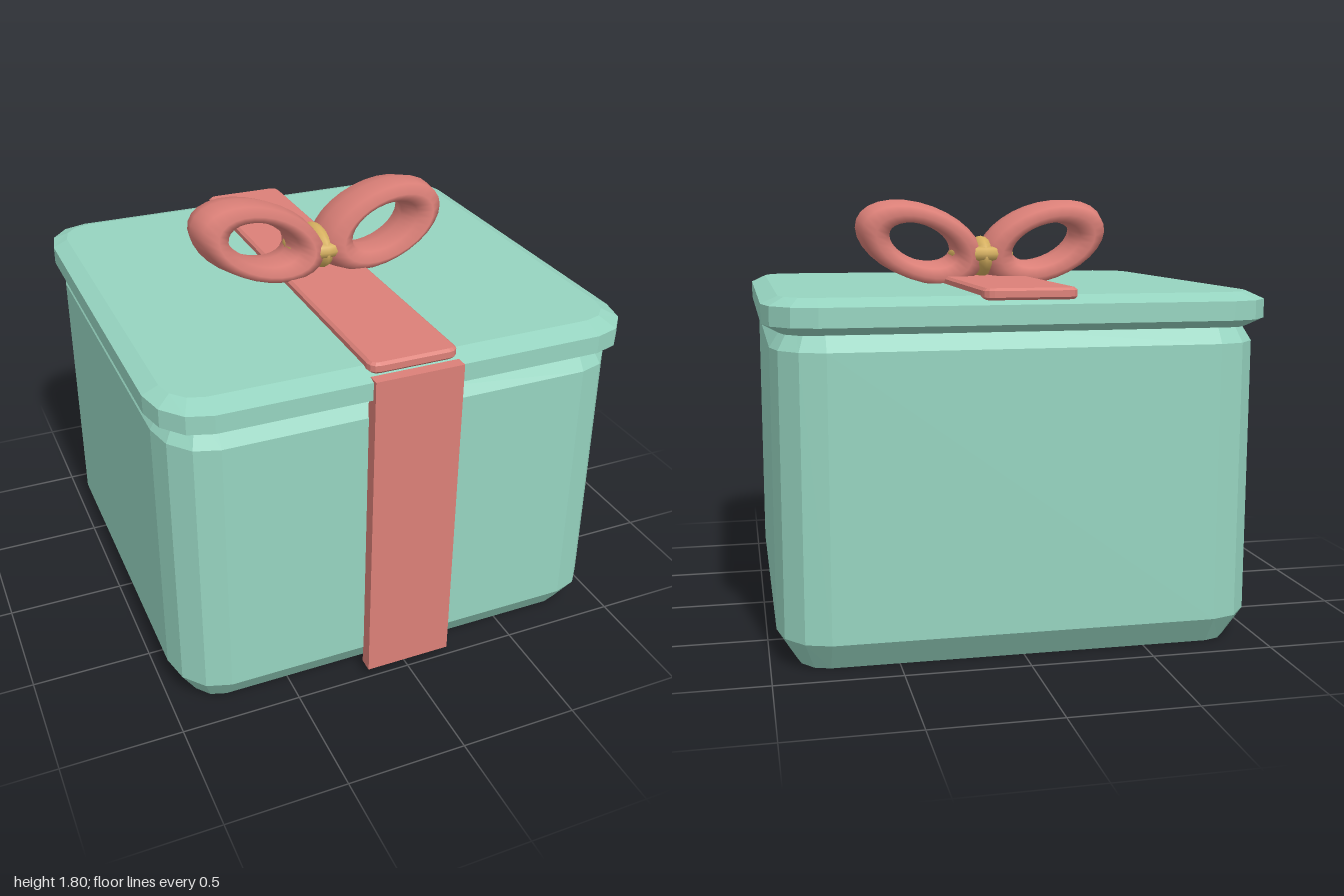
import * as THREE from 'three';

const green = new THREE.MeshStandardMaterial({ name: 'mint card', color: 0x96d4c0 });
const red = new THREE.MeshStandardMaterial({ name: 'coral ribbon', color: 0xdb8078 });
const gold = new THREE.MeshStandardMaterial({ name: 'gold knot', color: 0xd6b060 });

// Rounded rectangle outline: half sizes, corner radii, segments per corner
function outline(hx, hz, rx, rz, y, segments = 3) {
  const points = [];
  for (let corner = 0; corner < 4; corner++) {
    const sx = corner === 0 || corner === 3 ? 1 : -1;
    const sz = corner < 2 ? 1 : -1;
    for (let i = 0; i <= segments; i++) {
      const a = (corner + i / segments) * Math.PI / 2;
      points.push([sx * (hx - rx) + rx * Math.cos(a), y, sz * (hz - rz) + rz * Math.sin(a)]);
    }
  }
  return points;
}

// Faceted box lofted through insets: profile rows are [y, inset x, inset z]
function loftedBox(name, material, hx, hz, rx, rz, profile) {
  const rings = profile.map(([y, ix, iz]) => outline(hx - ix, hz - iz, rx - ix, rz - iz, y));
  const position = [];
  const add = (...corners) => corners.forEach((p) => position.push(...p));
  const count = rings[0].length;
  const last = rings.length - 1;
  const bottom = [0, profile[0][0], 0];
  const top = [0, profile[last][0], 0];
  for (let i = 0; i < count; i++) {
    const j = (i + 1) % count;
    for (let k = 0; k < last; k++) {
      add(rings[k][i], rings[k + 1][i], rings[k + 1][j]);
      add(rings[k][i], rings[k + 1][j], rings[k][j]);
    }
    add(bottom, rings[0][i], rings[0][j]);
    add(top, rings[last][j], rings[last][i]);
  }
  const geometry = new THREE.BufferGeometry();
  geometry.setAttribute('position', new THREE.Float32BufferAttribute(position, 3));
  geometry.computeVertexNormals();
  return named(new THREE.Mesh(geometry, material), name);
}

function named(object, name) {
  object.name = name;
  return object;
}

export function createModel() {
  const model = named(new THREE.Group(), 'giftBox');

  // Box body with chamfered foot and shoulder
  const body = loftedBox('boxBody', green, 0.97, 0.95, 0.2, 0.24, [
    [0, 0.075, 0.085], [0.12, 0, 0], [1.24, 0, 0], [1.36, 0.075, 0.085],
  ]);
  body.position.z = -0.005;

  // Overhanging lid
  const lid = loftedBox('lid', green, 1, 0.99, 0.2, 0.24, [
    [1.3, 0.065, 0.09], [1.335, 0, 0], [1.41, 0, 0], [1.44, 0.065, 0.09],
  ]);
  lid.position.z = -0.01;

  // Ribbon down the front
  const frontRibbon = named(new THREE.Mesh(new THREE.BoxGeometry(0.37, 1.38, 0.06), red), 'frontRibbon');
  frontRibbon.position.set(0, 0.73, 0.97);

  // Ribbon across the lid, with softened edges
  const topRibbon = loftedBox('topRibbon', red, 0.185, 0.965, 0.04, 0.04, [
    [1.425, 0.01, 0.01], [1.435, 0, 0], [1.46, 0, 0], [1.47, 0.012, 0.012],
  ]);
  topRibbon.position.z = -0.01;
  model.add(body, lid, frontRibbon, topRibbon);

  // Bow: two broad flattened loops, leaning back a little
  const bow = named(new THREE.Group(), 'bow');
  const loopGeometry = new THREE.TorusGeometry(0.22, 0.08, 8, 28);
  for (const [side, name] of [[1, 'leftLoop'], [-1, 'rightLoop']]) {
    const loop = named(new THREE.Mesh(loopGeometry, red), name);
    loop.scale.set(1, 0.56, 1.95);
    loop.rotation.set(-0.13, 0, side * 0.35);
    loop.position.set(side * 0.277, 1.618, -0.01);
    bow.add(loop);
  }

  // Knot and the ring that passes through both loops
  const knot = named(new THREE.Mesh(new THREE.SphereGeometry(1, 12, 10), gold), 'knot');
  knot.scale.set(0.055, 0.092, 0.145);
  knot.position.set(0, 1.553, -0.01);
  const ring = named(new THREE.Mesh(new THREE.TorusGeometry(0.115, 0.033, 8, 20), gold), 'knotRing');
  ring.rotation.x = Math.PI / 2;
  ring.position.set(0, 1.567, -0.01);
  bow.add(knot, ring);
  model.add(bow);

  return model;
}
